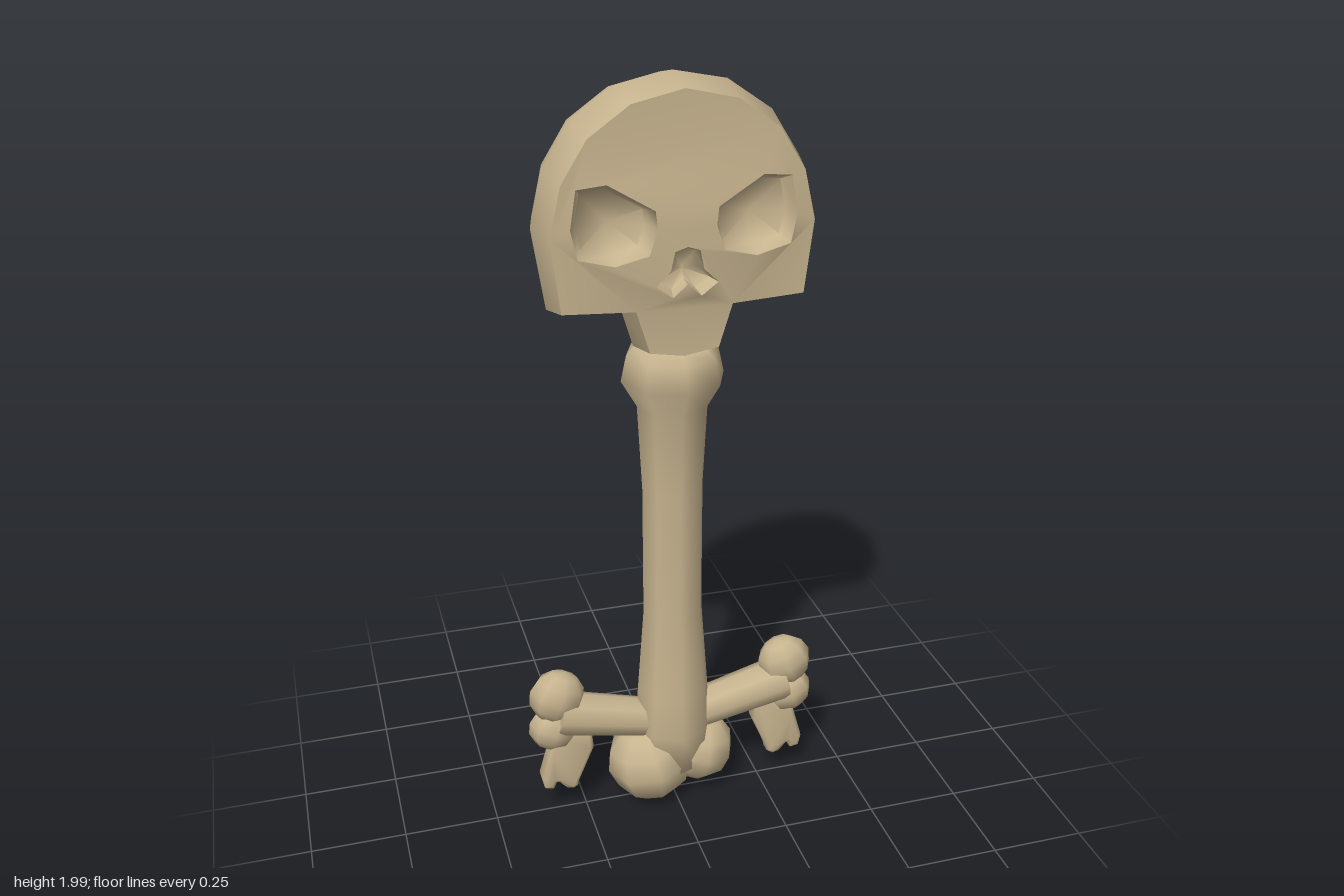
import * as THREE from 'three';
import { toCreasedNormals } from 'three/addons/utils/BufferGeometryUtils.js';

const bone = new THREE.MeshStandardMaterial({ color: 0xc7b48f });
bone.name = 'bone';

function add(parent, geometry, name) {
  const mesh = new THREE.Mesh(geometry, bone);
  mesh.name = name;
  parent.add(mesh);
  return mesh;
}

// Skins a list of equally long rings of [x, y, z]; counter-clockwise rings running
// back to front face outwards, front to back face inwards.
function loft(rings, crease) {
  const pos = [];
  const same = (p, q) => p.every((v, k) => v === q[k]);
  const tri = (a, b, c) => {
    if (!same(a, b) && !same(b, c) && !same(a, c)) pos.push(...a, ...b, ...c);
  };
  for (let r = 0; r + 1 < rings.length; r++) {
    const a = rings[r], b = rings[r + 1], n = a.length;
    for (let i = 0; i < n; i++) {
      const j = (i + 1) % n;
      tri(a[i], a[j], b[j]);
      tri(a[i], b[j], b[i]);
    }
  }
  const g = new THREE.BufferGeometry();
  g.setAttribute('position', new THREE.Float32BufferAttribute(pos, 3));
  return toCreasedNormals(g, crease);
}

const flip = (pts) => pts.map(([x, y]) => [-x, y]).reverse();
// Completes a half outline that starts and ends on the centre line
const mirrorOutline = (half) => [...half, ...flip(half.slice(1, -1))];

// Half outlines, from the bottom counter-clockwise to the top
const middle = mirrorOutline([[0, 1.34], [0.1, 1.35], [0.13, 1.45], [0.31, 1.462], [0.34, 1.66],
  [0.31, 1.79], [0.24, 1.9], [0.13, 1.975], [0, 2]]);
const rim = mirrorOutline([[0, 1.352], [0.085, 1.366], [0.118, 1.472], [0.295, 1.482], [0.316, 1.66],
  [0.288, 1.78], [0.225, 1.88], [0.125, 1.95], [0, 1.978]]);
const eye = [[0.255, 1.77], [0.185, 1.778], [0.075, 1.713], [0.07, 1.67],
  [0.09, 1.61], [0.17, 1.59], [0.255, 1.61], [0.27, 1.68]];
const nose = mirrorOutline([[0, 1.535], [0.035, 1.505], [0.075, 1.535], [0.04, 1.57], [0.03, 1.615], [0, 1.625]]);

const RIM_Z = 0.105;
const at = (pts, z) => pts.map(([x, y]) => [x, y, z]);

// The face swells gently towards the nose
function faceZ(x, y) {
  const d = Math.hypot(x / 0.34, (y - 1.6) / 0.38);
  return RIM_Z + 0.022 * Math.max(0, 1 - d * d);
}

function socket(pts, depth) {
  const n = pts.length;
  const cx = pts.reduce((s, p) => s + p[0], 0) / n;
  const cy = pts.reduce((s, p) => s + p[1], 0) / n;
  const ring = (k, z) => pts.map(([x, y]) => [cx + (x - cx) * k, cy + (y - cy) * k, z]);
  return loft([
    pts.map(([x, y]) => [x, y, faceZ(x, y)]),
    ring(0.82, 0.12 - depth * 0.65),
    ring(0, 0.12 - depth),
  ], 1.1);
}

function makeSkull() {
  const skull = new THREE.Group();
  skull.name = 'skull';

  // Sides and slightly domed back
  const n = rim.length;
  const apex = Array.from({ length: n }, () => [0, 1.52, -0.125]);
  add(skull, loft([apex, at(rim, -RIM_Z), at(middle, 0), at(rim, RIM_Z)], 0.72), 'skullShell');

  // Face plate with openings
  const vecs = (pts) => pts.map((p) => new THREE.Vector2(...p));
  const shape = new THREE.Shape(vecs(rim));
  const openings = [eye, flip(eye), nose];
  for (const o of openings) shape.holes.push(new THREE.Path(vecs(o)));
  const face = new THREE.ShapeGeometry(shape);
  const p = face.attributes.position;
  for (let i = 0; i < p.count; i++) {
    const onRim = rim.some(([x, y]) => Math.hypot(x - p.getX(i), y - p.getY(i)) < 1e-5);
    p.setZ(i, onRim ? RIM_Z : faceZ(p.getX(i), p.getY(i)));
  }
  face.computeVertexNormals();
  add(skull, face, 'face');

  add(skull, socket(eye, 0.075), 'leftEyeSocket');
  add(skull, socket(flip(eye), 0.075), 'rightEyeSocket');
  add(skull, socket(nose, 0.045), 'noseSocket');
  return skull;
}

// Rounded low-poly knuckle
function knob(parent, name, [x, y, z], [rx, ry, rz], tilt = 0) {
  const mesh = add(parent, new THREE.SphereGeometry(1, 8, 6), name);
  mesh.position.set(x, y, z);
  mesh.scale.set(rx, ry, rz);
  mesh.rotation.z = tilt;
}

function makeShaft() {
  const shaft = new THREE.Group();
  shaft.name = 'shaft';
  const profile = [[0, 1.352], [0.095, 1.345], [0.118, 1.325], [0.132, 1.26], [0.092, 1.19],
    [0.08, 0.96], [0.08, 0.6], [0.098, 0.36], [0.105, 0.24], [0.09, 0.12], [0, 0.08]];
  const pts = profile.reverse().map((q) => new THREE.Vector2(...q));
  add(shaft, new THREE.LatheGeometry(pts, 8), 'longBone');
  // Uneven knuckles at the foot
  knob(shaft, 'largeKnuckle', [-0.066, 0.127, 0], [0.12, 0.118, 0.118], 0.2);
  knob(shaft, 'smallKnuckle', [0.075, 0.145, 0], [0.098, 0.098, 0.1], -0.2);
  return shaft;
}

// Side bone with two knuckles and a rooted tooth below
function makeArm(s, name) {
  const arm = new THREE.Group();
  arm.name = name;
  const a = new THREE.Vector3(s * 0.03, 0.255, 0), b = new THREE.Vector3(s * 0.32, 0.325, 0);
  const rod = add(arm, new THREE.CylinderGeometry(0.062, 0.052, a.distanceTo(b), 8), 'sideBone');
  rod.position.copy(a).lerp(b, 0.5);
  rod.quaternion.setFromUnitVectors(new THREE.Vector3(0, 1, 0), b.clone().sub(a).normalize());
  knob(arm, 'upperKnuckle', [s * 0.322, 0.378, 0], [0.076, 0.075, 0.058], s * 0.35);
  knob(arm, 'lowerKnuckle', [s * 0.335, 0.28, 0], [0.068, 0.063, 0.052], s * 0.35);

  const outline = [[0.24, 0.27], [0.235, 0.21], [0.278, 0.108], [0.28, 0.096], [0.29, 0.09], [0.306, 0.095],
    [0.326, 0.118], [0.338, 0.118], [0.346, 0.1], [0.362, 0.103], [0.368, 0.13], [0.345, 0.21], [0.335, 0.27]];
  const shape = new THREE.Shape(outline.map(([x, y]) => new THREE.Vector2(s * x, y)));
  const tooth = new THREE.ExtrudeGeometry(shape, {
    depth: 0.026, bevelEnabled: true, bevelThickness: 0.016, bevelSize: 0.012, bevelOffset: -0.005, bevelSegments: 2,
  });
  tooth.translate(0, 0, -0.013);
  add(arm, toCreasedNormals(tooth, 0.9), 'tooth');
  return arm;
}

export function createModel() {
  const model = new THREE.Group();
  model.name = 'skullKey';
  model.add(makeSkull(), makeShaft(), makeArm(1, 'leftArm'), makeArm(-1, 'rightArm'));
  return model;
}
